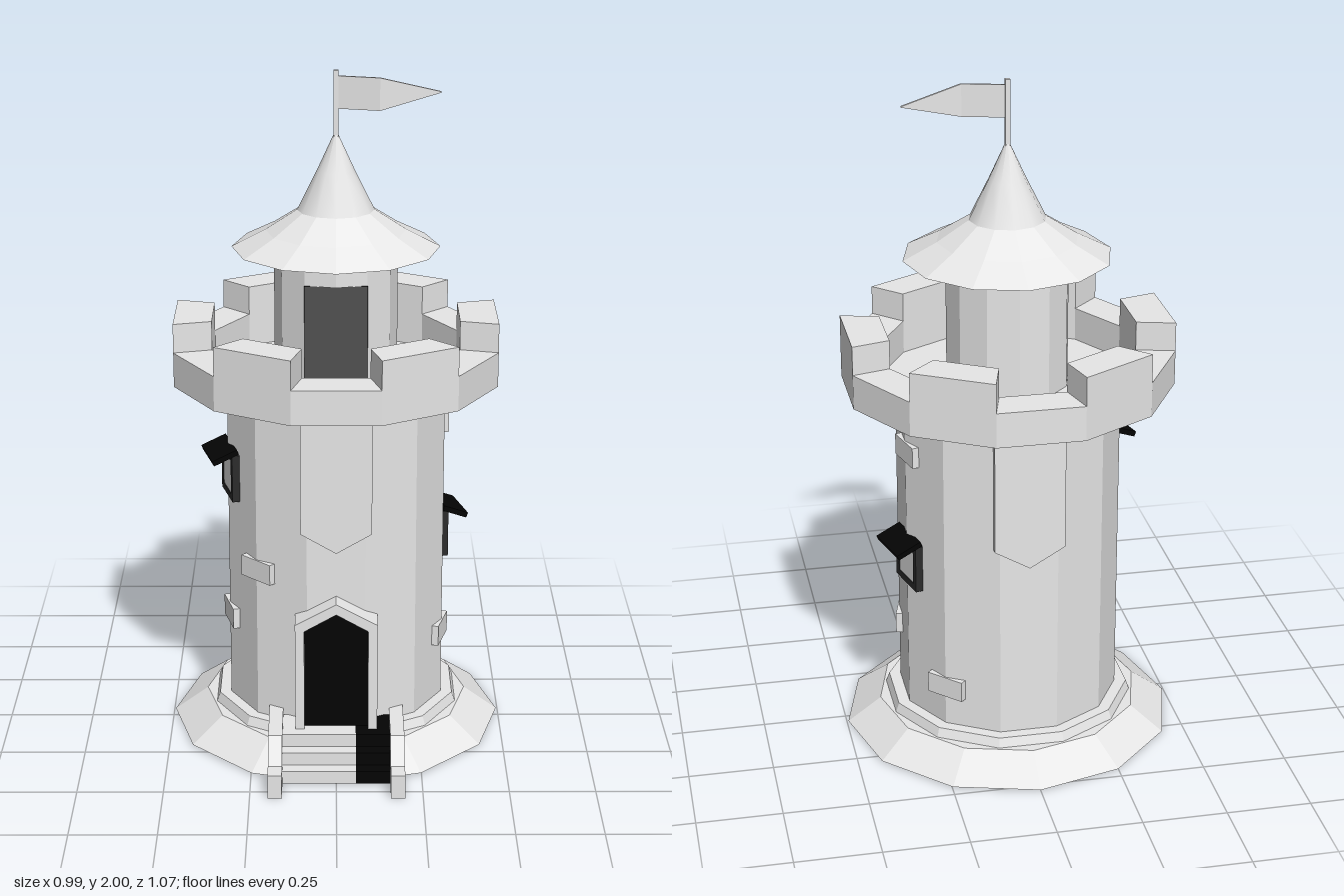
import * as THREE from 'three';

// The roof and battlement ring are open shells, so stone shows on both sides
const stone = new THREE.MeshStandardMaterial({ color: 0xe7e7e7, side: THREE.DoubleSide });
stone.name = 'stone';
const black = new THREE.MeshStandardMaterial({ color: 0x040404 });
black.name = 'blackTimber';
const grey = new THREE.MeshStandardMaterial({ color: 0x2c2c2c });
grey.name = 'darkFrame';
const shade = new THREE.MeshStandardMaterial({ color: 0x505050 });
shade.name = 'darkOpening';

const RAD = Math.PI / 180;

// Flat facets for a geometry
function flat(geometry) {
  const geo = geometry.index ? geometry.toNonIndexed() : geometry;
  geo.computeVertexNormals();
  return geo;
}

function add(parent, name, geometry, material, x = 0, y = 0, z = 0) {
  const mesh = new THREE.Mesh(geometry, material);
  mesh.name = name;
  mesh.position.set(x, y, z);
  parent.add(mesh);
  return mesh;
}

// Twelve-sided drum between two heights; turn = 15 puts flats at the front
function drum(parent, name, rTop, rBottom, y0, y1, turn) {
  const geo = new THREE.CylinderGeometry(rTop, rBottom, y1 - y0, 12, 1, false, turn * RAD);
  return add(parent, name, flat(geo), stone, 0, (y0 + y1) / 2, 0);
}

function lathe(points, turn = 0) {
  return new THREE.LatheGeometry(points.map(p => new THREE.Vector2(...p)), 12, turn * RAD);
}

function extrude(points, depth) {
  const shape = new THREE.Shape(points.map(p => new THREE.Vector2(...p)));
  return new THREE.ExtrudeGeometry(shape, { depth, bevelEnabled: false });
}

// Group on the wall; angle is measured from +x towards +z, local +z points outwards
function onWall(parent, name, angle, radius, y) {
  const g = new THREE.Group();
  g.name = name;
  g.position.set(radius * Math.cos(angle * RAD), y, radius * Math.sin(angle * RAD));
  g.rotation.y = (90 - angle) * RAD;
  parent.add(g);
  return g;
}

function addWindow(parent, angle, y) {
  const g = onWall(parent, 'window', angle, 0.316, y);
  for (const s of [-1, 1]) {
    add(g, 'windowPost', new THREE.BoxGeometry(0.02, 0.14, 0.035), grey, s * 0.06, 0, 0);
    add(g, 'windowRail', new THREE.BoxGeometry(0.14, 0.02, 0.035), grey, 0, s * 0.062, 0);
  }
  add(g, 'windowPane', new THREE.BoxGeometry(0.11, 0.115, 0.031), stone);
  const awning = add(g, 'windowAwning', new THREE.BoxGeometry(0.15, 0.016, 0.08), black, 0, 0.07, 0.038);
  awning.rotation.x = 0.38;
}

export function createModel() {
  const model = new THREE.Group();
  model.name = 'watchtower';
  const tower = new THREE.Group();
  tower.name = 'tower';
  tower.position.z = -0.037;
  model.add(tower);

  // Foundation and main wall
  drum(tower, 'foundation', 0.395, 0.496, 0.004, 0.077, 0);
  drum(tower, 'plinth', 0.365, 0.375, 0.077, 0.105, 15);
  drum(tower, 'mainWall', 0.33, 0.33, 0.1, 1.08, 15);

  // Battlement ring around a sunken floor, with six merlons
  const ring = lathe([[0.487, 1.097], [0.487, 1.2], [0.372, 1.2], [0.372, 1.1], [0, 1.1]], 15);
  add(tower, 'battlementRing', flat(ring), stone);
  const c = Math.cos(15 * RAD), s = Math.sin(15 * RAD), rIn = 0.372, rOut = 0.487;
  const merlon = extrude([[rIn * c, -rIn * s], [rOut * c, -rOut * s],
    [rOut * c, rOut * s], [rIn * c, rIn * s]], 0.087).rotateX(-Math.PI / 2);
  for (let i = 0; i < 6; i++) {
    add(tower, 'merlon', merlon, stone, 0, 1.199, 0).rotation.y = i * Math.PI / 3;
  }

  // Upper turret with a dark opening cut into its front
  const turret = new THREE.CylinderGeometry(0.18, 0.18, 0.34, 10, 1, true, 30 * RAD, 300 * RAD);
  add(tower, 'turretWall', flat(turret), stone, 0, 1.24, 0);
  drum(tower, 'turretLintel', 0.18, 0.18, 1.41, 1.49, 0);
  add(tower, 'turretOpeningEdge', new THREE.BoxGeometry(0.182, 0.333, 0.012), black, 0, 1.2435, 0.156);
  add(tower, 'turretOpening', new THREE.PlaneGeometry(0.18, 0.305), shade, 0, 1.2575, 0.163);

  // Roof: faceted skirt and smooth spire, hollow underneath
  add(tower, 'roofSkirt', flat(lathe([[0.303, 1.485], [0.205, 1.535], [0.112, 1.595]])), stone);
  add(tower, 'roofSpire', lathe([[0.112, 1.595], [0.055, 1.71], [0, 1.83]]), stone);

  // Flagpole and bent pennant
  add(tower, 'flagpole', new THREE.BoxGeometry(0.014, 0.2, 0.014), stone, 0, 1.9, 0);
  const flag = new THREE.BoxGeometry(0.3, 0.094, 0.008, 2, 1, 1);
  const fp = flag.attributes.position;
  for (let i = 0; i < fp.count; i++) {
    const x = fp.getX(i);
    if (Math.abs(x) < 0.01) fp.setXYZ(i, -0.025, fp.getY(i), fp.getZ(i) + 0.033);
    if (x > 0.1) fp.setY(i, fp.getY(i) * 0.03);
  }
  add(tower, 'flag', flat(flag), stone, 0.15, 1.937, 0);

  // Shield-ended banners at front and back
  const banner = extrude([[-0.103, 1.07], [-0.103, 0.72], [0, 0.66], [0.103, 0.72], [0.103, 1.07]], 0.06);
  add(tower, 'frontBanner', banner, stone, 0, 0, 0.277);
  add(tower, 'backBanner', banner, stone, 0, -0.015, -0.27).rotation.y = Math.PI;

  // Windows and raised wall stones
  addWindow(tower, -15, 0.58);
  addWindow(tower, 165, 0.82);
  for (const [angle, y] of [[-15, 0.935], [15, 0.313], [-45, 0.228], [135, 0.567], [165, 0.37]]) {
    const g = onWall(tower, 'raisedStone', angle, 0.321, y);
    add(g, 'stoneBlock', new THREE.BoxGeometry(0.12, 0.063, 0.026), stone);
  }

  // Pointed doorway
  const frame = extrude([[-0.12, 0.1], [-0.093, 0.1], [-0.093, 0.435], [0, 0.488], [0.093, 0.435],
    [0.093, 0.1], [0.12, 0.1], [0.12, 0.455], [0, 0.52], [-0.12, 0.455]], 0.1);
  add(model, 'doorFrame', frame, stone, 0, 0, 0.245);
  const door = extrude([[-0.095, 0.1], [0.095, 0.1], [0.095, 0.436], [0, 0.489], [-0.095, 0.436]], 0.008);
  add(model, 'door', door, black, 0, 0, 0.312);

  // Steps, with one dark end
  for (let i = 0; i < 3; i++) {
    const front = 0.46 - i * 0.04, h = 0.039, depth = front - 0.25;
    const y = 0.006 + h * (i + 0.5), z = front - depth / 2;
    add(model, 'step', new THREE.BoxGeometry(0.215, h, depth), stone, -0.0505, y, z);
    add(model, 'darkStep', new THREE.BoxGeometry(0.101, h, depth), black, 0.1075, y, z);
  }

  // Stair side walls
  const side = extrude([[0.2, 0], [0.54, 0], [0.54, 0.072], [0.482, 0.072], [0.42, 0.14], [0.2, 0.14]], 0.041)
    .rotateY(-Math.PI / 2);
  add(model, 'leftStairWall', side, stone, 0.198, 0, 0);
  add(model, 'rightStairWall', side, stone, -0.157, 0, 0);

  return model;
}
